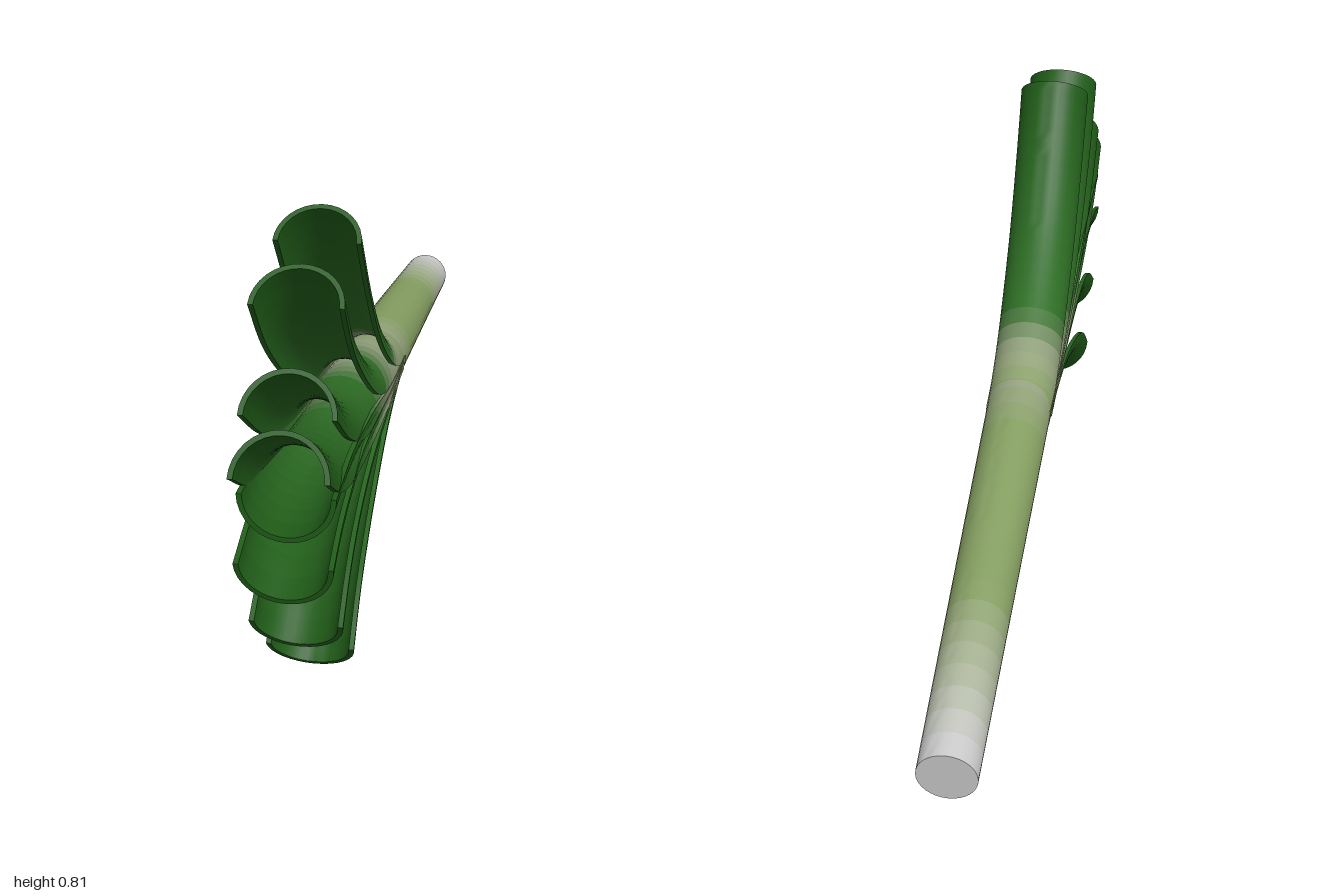
import * as THREE from 'three';
import { toCreasedNormals } from 'three/addons/utils/BufferGeometryUtils.js';

// The stalk widens and drifts sideways steadily along its length
const radiusAt = z => 0.067 + 0.014 * z;
const centreX = z => -0.015 + 0.015 * z;

// Colour at t from a list of [t, hex] stops
function gradient(stops, t) {
  let i = 0;
  while (i < stops.length - 2 && t > stops[i + 1][0]) i++;
  const [t0, c0] = stops[i], [t1, c1] = stops[i + 1];
  const k = THREE.MathUtils.clamp((t - t0) / (t1 - t0), 0, 1);
  return new THREE.Color(c0).lerp(new THREE.Color(c1), k);
}

// Sweeps a closed profile of [across, outward] points along a side-on path of [z, y],
// then cuts the skin into bands that step through the colour stops
function sweep(name, path, profileAt, dir, stops, rows, bands) {
  const curve = new THREE.CatmullRomCurve3(path.map(([z, y]) => new THREE.Vector3(0, y, z)));
  const rings = [];
  for (let i = 0; i <= rows; i++) {
    const p = curve.getPointAt(i / rows), t = curve.getTangentAt(i / rows);
    const n = new THREE.Vector3(0, t.z, -t.y).multiplyScalar(dir);
    rings.push(profileAt(p.z).map(([u, v]) =>
      new THREE.Vector3(centreX(p.z) + u * dir, p.y + n.y * v, p.z + n.z * v)));
  }
  const count = rings[0].length, pos = [], starts = [];
  const tri = (...pts) => pts.forEach(p => pos.push(p.x, p.y, p.z));
  // End faces join each point to its opposite number in the ring
  const cap = (ring, flip) => {
    for (let j = 0; j < count / 2 - 1; j++) {
      const a = ring[j], b = ring[j + 1], c = ring[count - 1 - j], d = ring[count - 2 - j];
      if (flip) { tri(a, b, c); tri(b, d, c); } else { tri(a, c, b); tri(b, c, d); }
    }
  };
  for (let i = 0; i < rows; i++) {
    if (i % (rows / bands) === 0) starts.push(pos.length);
    if (i === 0) cap(rings[0], true);
    for (let j = 0; j < count; j++) {
      const k = (j + 1) % count, A = rings[i], B = rings[i + 1];
      tri(A[j], B[j], A[k]);
      tri(B[j], B[k], A[k]);
    }
  }
  cap(rings[rows], false);
  starts.push(pos.length);

  let geo = new THREE.BufferGeometry();
  geo.setAttribute('position', new THREE.Float32BufferAttribute(pos, 3));
  geo = toCreasedNormals(geo, 0.8);

  const group = new THREE.Group();
  group.name = name;
  for (let b = 0; b < bands; b++) {
    const part = new THREE.BufferGeometry();
    for (const key of ['position', 'normal']) {
      part.setAttribute(key, new THREE.BufferAttribute(
        geo.attributes[key].array.slice(starts[b], starts[b + 1]), 3));
    }
    const mesh = new THREE.Mesh(part, new THREE.MeshStandardMaterial({
      color: gradient(stops, b / (bands - 1)), side: THREE.DoubleSide }));
    mesh.name = `${name}Band${b + 1}`;
    group.add(mesh);
  }
  return group;
}

// Round section of the stalk
function stalkProfile(z) {
  const r = radiusAt(z);
  return Array.from({ length: 32 }, (_, i) => {
    const a = (i / 32) * Math.PI * 2;
    return [r * Math.sin(a), r * Math.cos(a)];
  });
}

// Half-pipe section of a leaf, its crown lying on the path
function leafProfile(z) {
  const r = radiusAt(z) + 0.001, thick = 0.009, n = 16, pts = [];
  const arc = (rad, a) => pts.push([rad * Math.sin(a), rad * Math.cos(a) - r]);
  for (let i = 0; i <= n; i++) arc(r, (i / n - 0.5) * Math.PI);
  for (let i = n; i >= 0; i--) arc(r - thick, (i / n - 0.5) * Math.PI);
  return pts;
}

// Crown lines of the leaves as [z, y], outermost first
const upperLeaves = [
  [[-0.05, 0.369], [0.06, 0.402], [0.17, 0.455], [0.33, 0.562], [0.46, 0.686], [0.57, 0.814]],
  [[-0.04, 0.367], [0.15, 0.408], [0.33, 0.452], [0.514, 0.552], [0.675, 0.67], [0.766, 0.771]],
  [[-0.03, 0.365], [0.15, 0.39], [0.35, 0.425], [0.57, 0.47], [0.73, 0.54], [0.87, 0.632]],
  [[-0.02, 0.362], [0.2, 0.383], [0.46, 0.415], [0.675, 0.45], [0.835, 0.495], [0.953, 0.562]],
];
const lowerLeaves = [
  [[-0.05, 0.242], [0.06, 0.24], [0.22, 0.22], [0.41, 0.165], [0.594, 0.085], [0.70, 0.003]],
  [[-0.04, 0.244], [0.25, 0.245], [0.45, 0.241], [0.62, 0.216], [0.73, 0.177], [0.83, 0.112]],
  [[-0.03, 0.247], [0.2, 0.262], [0.4, 0.287], [0.62, 0.31], [0.835, 0.292], [0.948, 0.257]],
  [[-0.02, 0.25], [0.2, 0.275], [0.5, 0.33], [0.75, 0.362], [0.937, 0.36]],
];

export function createModel() {
  const model = new THREE.Group();
  model.name = 'leek';

  // Stalk: white root end fading to pale green
  model.add(sweep('stalk', [[-0.993, 0.174], [-0.5, 0.244], [0.02, 0.316]], stalkProfile, 1,
    [[0, 0xcccccc], [0.15, 0xb0b8a0], [0.38, 0x86a062], [0.85, 0x86a062], [1, 0x97a482]], 40, 20));

  // Leaves: pale where they leave the stalk, dark green at the tips
  const addLeaves = (paths, dir, label) => paths.forEach((path, i) => {
    const s = 0.28 + 0.09 * i;
    model.add(sweep(`${label}Leaf${i + 1}`, path, leafProfile, dir,
      [[0, 0x86a062], [s * 0.5, 0x97a482], [s, 0x2f6f26], [1, 0x1f5a17]], 40, 20));
  });
  addLeaves(upperLeaves, 1, 'upper');
  addLeaves(lowerLeaves, -1, 'lower');
  return model;
}
